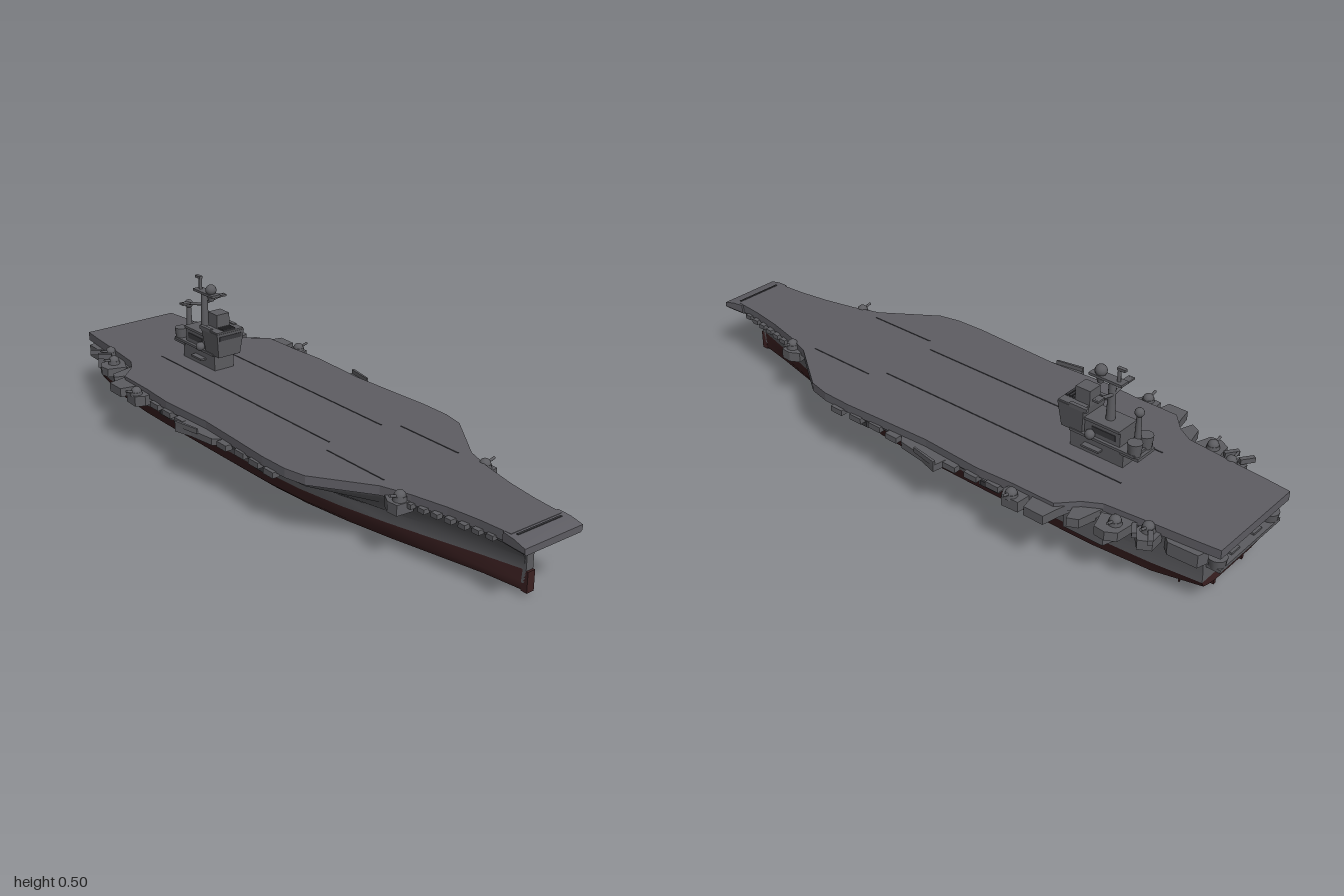
import * as THREE from 'three';
import { toCreasedNormals } from 'three/addons/utils/BufferGeometryUtils.js';

export function createModel() {
  const ship = new THREE.Group();
  ship.name = 'aircraftCarrier';
  const mat = (name, color) => Object.assign(new THREE.MeshStandardMaterial({ color }), { name });
  const deckGrey = mat('deckGrey', 0x5e5d63);
  const hullGrey = mat('hullGrey', 0x5c5c60);
  const red = mat('antifoulingRed', 0x3b2021);
  const dark = mat('darkGrey', 0x38383c);

  const add = (name, geo, m, x = 0, y = 0, z = 0, parent = ship) => {
    const mesh = new THREE.Mesh(geo, m);
    mesh.name = name;
    mesh.position.set(x, y, z);
    parent.add(mesh);
    return mesh;
  };
  const box = (name, w, h, d, x, y, z, m = hullGrey) => add(name, new THREE.BoxGeometry(w, h, d), m, x, y, z);
  const cyl = (name, r0, r1, h, x, y, z, m = hullGrey, n = 14) => add(name, new THREE.CylinderGeometry(r0, r1, h, n), m, x, y, z);
  const ball = (name, r, x, y, z) => add(name, new THREE.SphereGeometry(r, 16, 10), hullGrey, x, y, z);
  const both = (fn) => [1, -1].forEach(fn);

  // Flat plate from an [x, z] outline between two heights
  const plate = (name, pts, y0, y1, m = hullGrey) => {
    const shape = new THREE.Shape(pts.map(([x, z]) => new THREE.Vector2(x, -z)));
    const g = new THREE.ExtrudeGeometry(shape, { depth: y1 - y0, bevelEnabled: false });
    g.rotateX(-Math.PI / 2);
    return add(name, g, m, 0, y0, 0);
  };

  // Mirrored cross-sections, stern to bow, each a list of [x, y, z] for the +x half
  const loft = (name, sections, m) => {
    const rings = sections.map((s) => [...s, ...[...s].reverse().map(([x, y, z]) => [-x, y, z])]);
    const n = rings[0].length, pos = [];
    const centre = (r) => [0, r.reduce((t, p) => t + p[1], 0) / n, r[0][2]];
    for (let j = 0; j < n; j++) {
      const k = (j + 1) % n;
      for (let i = 0; i < rings.length - 1; i++) {
        const a = rings[i][j], b = rings[i][k], c = rings[i + 1][k], d = rings[i + 1][j];
        pos.push(...a, ...b, ...c, ...a, ...c, ...d);
      }
      const first = rings[0], last = rings[rings.length - 1];
      pos.push(...centre(first), ...first[k], ...first[j], ...centre(last), ...last[j], ...last[k]);
    }
    const g = new THREE.BufferGeometry();
    g.setAttribute('position', new THREE.Float32BufferAttribute(pos, 3));
    return add(name, toCreasedNormals(g, 0.5), m);
  };

  // Hull stations: z, waterline half width, deck half width, keel height
  const stations = [
    [-0.95, 0.16, 0.175, 0.05], [-0.8, 0.178, 0.19, 0.02], [-0.62, 0.19, 0.22, 0.015], [-0.5, 0.19, 0.28, 0.013],
    [-0.2, 0.19, 0.295, 0.013], [0.05, 0.188, 0.297, 0.013], [0.2, 0.178, 0.3, 0.014], [0.36, 0.153, 0.283, 0.015],
    [0.52, 0.117, 0.175, 0.016], [0.65, 0.083, 0.132, 0.017], [0.8, 0.042, 0.102, 0.017], [0.92, 0.012, 0.088, 0.017],
  ];
  const rake = (z, amount) => z + (z > 0.9 ? amount : 0);
  loft('lowerHull', stations.map(([z, w, , k]) => [
    [w * 0.55, k, rake(z, 0.012)], [w * 0.8, k + 0.006, rake(z, 0.01)],
    [w * 0.94, k + (0.08 - k) * 0.42, z], [w, 0.08, z],
  ]), red);
  loft('upperHull', stations.map(([z, w, d]) => [
    [w, 0.08, z], [w + (d - w) * 0.06, 0.118, rake(z, 0.004)], [w + (d - w) * 0.42, 0.15, rake(z, 0.015)],
    [d - 0.006, 0.178, rake(z, 0.04)], [d, 0.193, rake(z, 0.055)],
  ]), hullGrey);
  box('stem', 0.026, 0.12, 0.02, 0, 0.1, 0.918);
  box('stemFoot', 0.026, 0.062, 0.022, 0, 0.047, 0.924, red);
  box('keelFin', 0.014, 0.016, 0.3, 0, 0.01, -0.67, red);

  // Flight deck
  const half = [[0.17, -1], [0.178, -0.93], [0.19, -0.8], [0.205, -0.66], [0.235, -0.61], [0.29, -0.56], [0.292, -0.42],
    [0.3, -0.3], [0.29, -0.1], [0.297, 0.05], [0.305, 0.2], [0.303, 0.3], [0.288, 0.37], [0.17, 0.54],
    [0.14, 0.63], [0.115, 0.74], [0.1, 0.84], [0.092, 0.94]];
  const mirrored = (pts) => [...pts, ...[...pts].reverse().map(([x, z]) => [-x, z])];
  plate('flightDeck', mirrored(half), 0.189, 0.217, deckGrey);
  loft('bowRamp', [[0.92, 0.1, 0.217], [0.96, 0.103, 0.214], [1, 0.105, 0.204]].map(([z, w, y]) =>
    [[w * 0.95, 0.184, z], [w, 0.19, z], [w, y, z]]), deckGrey);
  box('bowSeam', 0.16, 0.002, 0.006, 0, 0.216, 0.95, dark);
  both((s) => {
    box('deckTrack', 0.004, 0.002, 0.88, s * 0.098, 0.2175, -0.2, dark);
    box('bowTrack', 0.004, 0.002, 0.24, s * 0.138, 0.2175, 0.4, dark);
  });

  // Sponsons and galleries along both deck edges
  both((s) => {
    const side = (name, pts, y0, y1) => plate(name, pts.map(([x, z]) => [s * x, z]), y0, y1);
    side('liftSponson', [[0.2, -0.6], [0.29, -0.575], [0.342, -0.565], [0.342, -0.5], [0.27, -0.485]], 0.178, 0.206);
    side('gunSponson', [[0.26, -0.48], [0.335, -0.475], [0.338, -0.42], [0.31, -0.405], [0.27, -0.41]], 0.17, 0.203);
    side('quarterSponson', [[0.18, -0.76], [0.265, -0.75], [0.283, -0.72], [0.28, -0.685], [0.22, -0.665]], 0.172, 0.2);
    side('quarterPlatform', [[0.2, -0.66], [0.285, -0.64], [0.3, -0.61], [0.24, -0.59]], 0.172, 0.2);
    side('sternSponson', [[0.17, -0.83], [0.23, -0.835], [0.25, -0.8], [0.215, -0.77], [0.18, -0.77]], 0.165, 0.195);
    side('sternGallery', [[0.16, -0.96], [0.196, -0.95], [0.2, -0.86], [0.18, -0.84]], 0.15, 0.19);
    side('midWing', [[0.28, -0.19], [0.347, -0.18], [0.33, -0.12], [0.318, -0.03], [0.285, 0]], 0.172, 0.193);
    side('wingScreen', [[0.338, -0.18], [0.347, -0.18], [0.33, -0.09], [0.324, -0.09]], 0.19, 0.206);
    side('bowSponson', [[0.12, 0.57], [0.17, 0.56], [0.187, 0.59], [0.185, 0.625], [0.13, 0.63]], 0.165, 0.197);
    side('sideBlister', [[0.17, -0.7], [0.228, -0.68], [0.23, -0.55], [0.18, -0.53]], 0.102, 0.18);
    [[0.335, -0.44], [0.25, -0.72], [0.215, -0.8], [0.172, 0.605]].forEach(([x, z]) => {
      cyl('gunBase', 0.018, 0.02, 0.014, s * (x - 0.015), 0.204, z);
      ball('gunDome', 0.017, s * (x - 0.015), 0.21, z);
      const barrel = cyl('gunBarrel', 0.004, 0.004, 0.04, s * (x + 0.002), 0.214, z);
      barrel.rotation.z = s * -1.3;
    });
    [-0.78, -0.83].forEach((z) => {
      const launcher = box('launcher', 0.045, 0.016, 0.014, s * 0.235, 0.208, z);
      launcher.rotation.y = s * 0.6;
    });
    // Catwalk lockers and hull openings
    for (let i = 0; i < 9; i++) {
      const z = -0.36 + i * 0.075;
      box('catwalkLocker', 0.024, 0.018, 0.045, s * (0.296 + (i % 3) * 0.004), 0.184, z);
    }
    for (let i = 0; i < 7; i++) {
      const z = 0.63 + i * 0.042;
      box('bowLocker', 0.02, 0.014, 0.024, s * (0.142 - i * 0.0075), 0.188, z);
    }
    [-0.33, -0.13, 0.17].forEach((z) => {
      box('hangarBay', 0.06, 0.022, 0.07, s * 0.255, 0.163, z);
      box('bayOpening', 0.003, 0.015, 0.055, s * 0.286, 0.162, z, dark);
    });
    // Slanted struts beneath the sponsons
    [-0.53, -0.44, -0.15].forEach((z) => {
      const strut = box('sponsonStrut', 0.13, 0.01, 0.03, s * 0.272, 0.157, z);
      strut.rotation.z = s * 0.38;
    });
  });

  // Transom: recessed openings, posts, galleries and corner tubs
  box('transomOpening', 0.27, 0.04, 0.006, 0, 0.16, -0.952, dark);
  box('sternWalkway', 0.3, 0.01, 0.045, 0, 0.132, -0.97);
  for (let i = -3; i <= 3; i++) box('transomPost', 0.01, 0.055, 0.01, i * 0.042, 0.162, -0.962);
  both((s) => {
    cyl('sternTub', 0.027, 0.022, 0.03, s * 0.13, 0.146, -0.97);
    box('sternLocker', 0.04, 0.03, 0.03, s * 0.055, 0.128, -0.965);
  });

  // Rudders, shafts and propellers
  both((s) => {
    box('rudder', 0.01, 0.055, 0.045, s * 0.07, 0.044, -0.915, red);
    [0.045, 0.105].forEach((x) => {
      const shaft = cyl('shaft', 0.005, 0.005, 0.16, s * x, 0.018, -0.77, red, 8);
      shaft.rotation.x = Math.PI / 2;
      for (let k = 0; k < 4; k++) {
        const blade = box('propellerBlade', 0.01, 0.034, 0.004, s * x, 0.019, -0.852, red);
        blade.rotation.set(0, 0.4, k * Math.PI / 4);
      }
    });
  });

  // Island
  const flare = (name, w, h, d, shrink, x, y, z) => {
    const g = new THREE.BoxGeometry(w, h, d), p = g.attributes.position;
    for (let i = 0; i < p.count; i++) if (p.getY(i) < 0) p.setXYZ(i, p.getX(i) * shrink, p.getY(i), p.getZ(i) * shrink);
    g.computeVertexNormals();
    return add(name, g, hullGrey, x, y, z);
  };
  box('islandBase', 0.074, 0.055, 0.18, 0, 0.243, -0.51);
  box('islandDeck', 0.09, 0.008, 0.22, 0, 0.272, -0.53);
  box('islandMiddle', 0.07, 0.05, 0.12, 0, 0.298, -0.525);
  box('islandRoof', 0.084, 0.008, 0.13, 0, 0.325, -0.52);
  flare('bridge', 0.104, 0.082, 0.09, 0.8, 0, 0.312, -0.425);
  box('bridgeRoof', 0.1, 0.006, 0.086, 0, 0.355, -0.425);
  box('bridgeWindows', 0.085, 0.014, 0.004, 0, 0.337, -0.381, dark);
  box('pilotHouse', 0.048, 0.05, 0.05, 0, 0.378, -0.445);
  for (let i = 0; i < 3; i++) box('roofVent', 0.045, 0.006, 0.008, 0, 0.36, -0.39 - i * 0.011, dark);
  both((s) => {
    box('bridgeWing', 0.012, 0.012, 0.06, s * 0.046, 0.355, -0.45);
    ball('sideDome', 0.015, s * 0.044, 0.283, -0.49);
    box('sideShelf', 0.024, 0.006, 0.06, s * 0.044, 0.244, -0.5);
    box('sideWindow', 0.003, 0.018, 0.08, s * 0.036, 0.298, -0.53, dark);
    cyl('rearDrum', 0.022, 0.018, 0.04, s * 0.026, 0.288, -0.628);
  });
  box('rearPlatform', 0.08, 0.01, 0.06, 0, 0.263, -0.62);
  cyl('rearMast', 0.007, 0.011, 0.13, 0, 0.33, -0.618);
  ball('rearMastDome', 0.014, 0, 0.387, -0.618);

  // Main mast with curved yard, radar dome and topmast
  cyl('mast', 0.01, 0.014, 0.14, 0, 0.385, -0.525);
  const yard = new THREE.CatmullRomCurve3([[-0.083, 0.424], [-0.05, 0.42], [0, 0.41], [0.05, 0.42], [0.083, 0.424]]
    .map(([x, y]) => new THREE.Vector3(x, y, -0.53)));
  add('yard', new THREE.TubeGeometry(yard, 16, 0.005, 8), hullGrey);
  both((s) => box('yardTip', 0.03, 0.006, 0.02, s * 0.07, 0.424, -0.53));
  box('mastPlatform', 0.032, 0.008, 0.11, 0, 0.452, -0.51);
  cyl('domeBase', 0.014, 0.009, 0.02, 0, 0.44, -0.485);
  ball('radarDome', 0.018, 0, 0.467, -0.485);
  cyl('topmast', 0.005, 0.006, 0.048, 0, 0.474, -0.545, hullGrey, 8);
  box('topAntenna', 0.012, 0.008, 0.026, 0, 0.495, -0.553);
  return ship;
}
